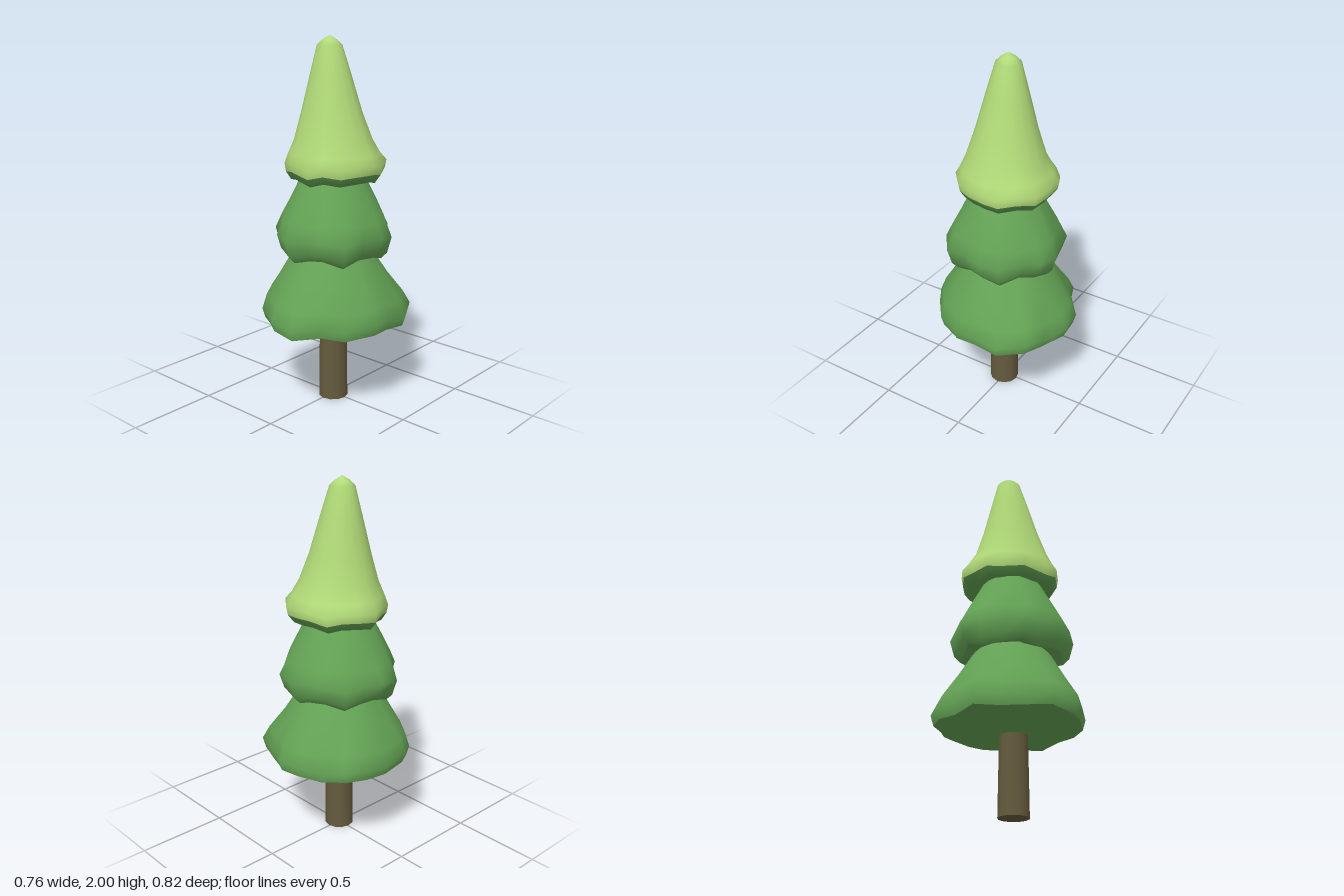
import * as THREE from 'three';

const mat = (name, color) => {
  const m = new THREE.MeshStandardMaterial({ color });
  m.name = name;
  return m;
};

// Smooth skin through rings listed from bottom to top.
// Ring: [y, scale, roundness, wave height, centre x, centre z]
function loft(outline, rings, waves) {
  const n = outline.length, pos = [], idx = [];
  const mean = outline.reduce((s, [x, z]) => s + Math.hypot(x, z), 0) / n;
  for (const [y, s, round, wave = 0, cx = 0, cz = 0] of rings) {
    for (const [x, z] of outline) {
      const r = Math.hypot(x, z);
      const k = s * (1 + (mean / r - 1) * round);
      const dip = Math.sin(Math.atan2(z, x) * waves + 1) * wave;
      pos.push(cx + x * k, y + dip, cz + z * k);
    }
  }
  for (let i = 0; i < rings.length - 1; i++) {
    for (let j = 0; j < n; j++) {
      const a = i * n + j, b = i * n + (j + 1) % n;
      idx.push(a, a + n, b, b, a + n, b + n);
    }
  }
  const g = new THREE.BufferGeometry();
  g.setAttribute('position', new THREE.Float32BufferAttribute(pos, 3));
  g.setIndex(idx);
  g.computeVertexNormals();
  return g;
}

// Irregular plan outlines [x, z], from the back round through +x
const LOWER = [[-0.1, -0.4], [0.03, -0.41], [0.1, -0.37], [0.17, -0.35], [0.3, -0.31], [0.375, -0.17],
  [0.375, -0.03], [0.38, 0.09], [0.3, 0.24], [0.2, 0.32], [0.065, 0.41], [-0.075, 0.405], [-0.18, 0.33],
  [-0.3, 0.255], [-0.375, 0.14], [-0.38, 0], [-0.38, -0.14], [-0.33, -0.26], [-0.26, -0.285], [-0.21, -0.325]];
const MIDDLE = [[-0.18, -0.28], [-0.05, -0.305], [0.02, -0.325], [0.14, -0.305], [0.2, -0.225], [0.295, -0.14],
  [0.32, -0.03], [0.285, 0.08], [0.265, 0.205], [0.165, 0.28], [0.08, 0.295], [-0.05, 0.315], [-0.15, 0.28],
  [-0.21, 0.2], [-0.32, 0.12], [-0.345, -0.01], [-0.3, -0.1], [-0.265, -0.2]];
const UPPER = [[-0.07, -0.28], [0.02, -0.275], [0.125, -0.26], [0.205, -0.2], [0.25, -0.105], [0.27, -0.03],
  [0.25, 0.07], [0.2, 0.165], [0.13, 0.23], [0.04, 0.25], [-0.1, 0.225], [-0.2, 0.165], [-0.25, 0.08],
  [-0.28, 0], [-0.27, -0.1], [-0.215, -0.18], [-0.16, -0.235]];

export function createModel() {
  const tree = new THREE.Group();
  tree.name = 'tree';
  const leaf = mat('dark green', 0x64a355);
  const tip = mat('light green', 0xb1da78);
  const bark = mat('bark brown', 0x655b3e);
  const add = (name, geometry, material) => {
    const mesh = new THREE.Mesh(geometry, material);
    mesh.name = name;
    tree.add(mesh);
    return mesh;
  };

  // Trunk, slightly tapered
  const trunk = add('trunk', new THREE.CylinderGeometry(0.075, 0.082, 0.5, 12), bark);
  trunk.position.set(0.008, 0.25, 0.006);

  // Lower tier
  add('lowerFoliage', loft(LOWER, [
    [0.465, 0.96, 0, 0.012], [0.52, 1, 0, 0.015], [0.6, 0.93, 0.35, 0.008],
    [0.72, 0.74, 0.7], [0.84, 0.56, 1], [0.92, 0.42, 1],
  ], 7), leaf);
  add('lowerUnderside', loft(LOWER, [
    [0.42, 0.001, 1], [0.425, 0.4, 0.8], [0.465, 0.96, 0, 0.012],
  ], 7), leaf);

  // Middle tier
  add('middleFoliage', loft(MIDDLE, [
    [0.845, 0.83, 0.2, 0.02], [0.88, 0.93, 0.1, 0.02], [0.96, 1, 0, 0.012],
    [1.04, 0.9, 0.5], [1.14, 0.74, 0.8], [1.26, 0.54, 1], [1.33, 0.42, 1],
  ], 6), leaf);
  add('middleUnderside', loft(MIDDLE, [
    [0.88, 0.001, 1], [0.87, 0.6, 0.5], [0.845, 0.83, 0.2, 0.02],
  ], 6), leaf);

  // Upper tier, leaning a little to one side, with a blunt tip
  add('upperFoliage', loft(UPPER, [
    [1.295, 0.97, 0, 0.012], [1.34, 1, 0, 0.012], [1.39, 0.9, 0.4], [1.46, 0.77, 0.8],
    [1.6, 0.6, 1, 0, -0.008], [1.8, 0.4, 1, 0, -0.016], [1.95, 0.245, 1, 0, -0.023],
    [1.975, 0.15, 1, 0, -0.023], [2, 0.001, 1, 0, -0.023],
  ], 7), tip);
  add('upperUnderside', loft(UPPER, [
    [1.29, 0.001, 1], [1.28, 0.55, 0.6], [1.252, 0.86, 0.1, 0.012], [1.295, 0.97, 0, 0.012],
  ], 7), leaf);

  return tree;
}
